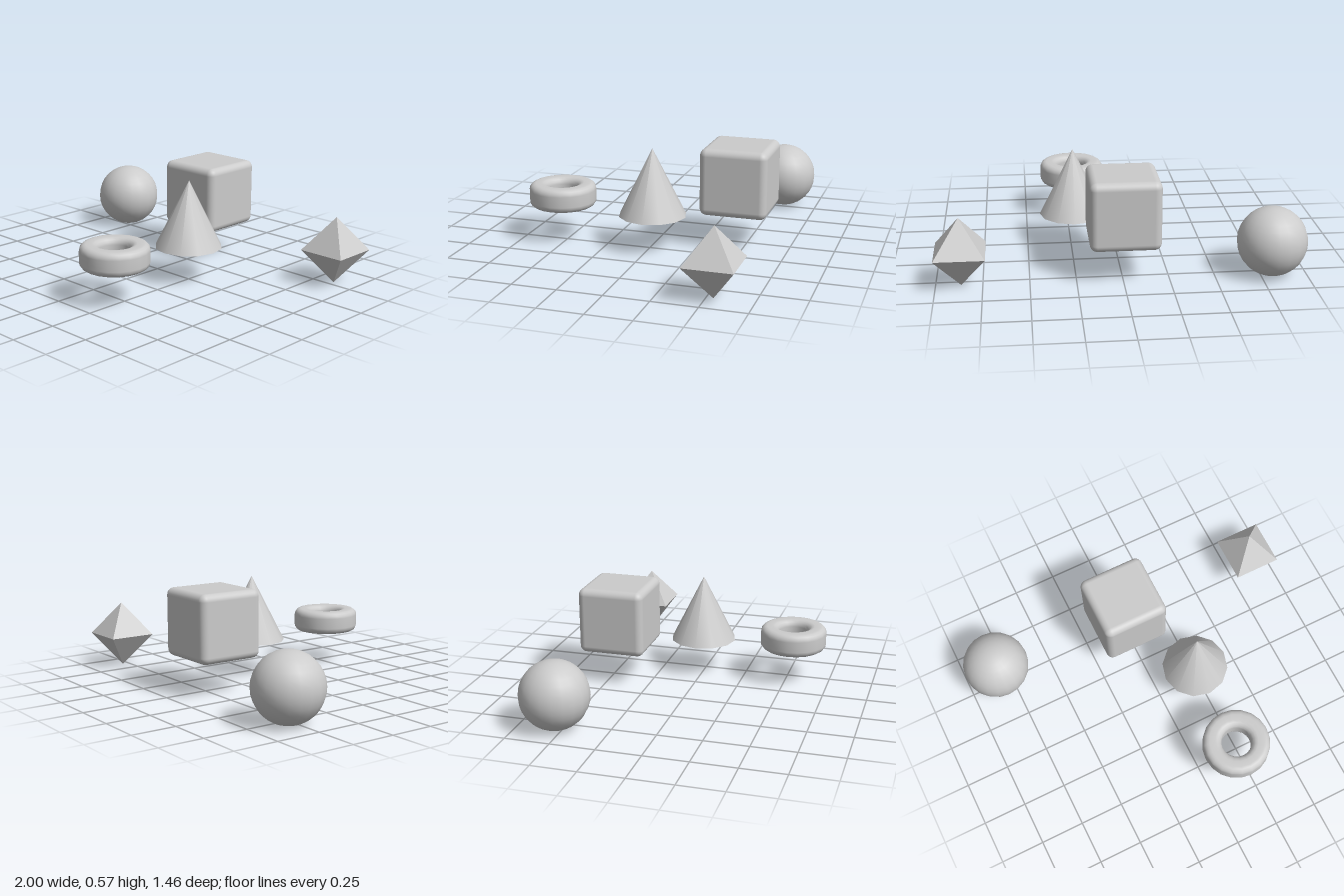
import * as THREE from 'three';
import { RoundedBoxGeometry } from 'three/addons/geometries/RoundedBoxGeometry.js';

const R = 0.191; // shared half-size of the solids

// Closed rounded-rectangle section, spun to make the ring
function ringProfile(inner, outer, height, radius, steps = 4) {
  const points = [];
  const corners = [
    [outer - radius, -height / 2 + radius, -Math.PI / 2],
    [outer - radius, height / 2 - radius, 0],
    [inner + radius, height / 2 - radius, Math.PI / 2],
    [inner + radius, -height / 2 + radius, Math.PI],
  ];
  for (const [x, y, start] of corners) {
    for (let i = 0; i <= steps; i++) {
      const a = start + (i / steps) * Math.PI / 2;
      points.push(new THREE.Vector2(x + radius * Math.cos(a), y + radius * Math.sin(a)));
    }
  }
  points.push(points[0].clone());
  return points;
}

export function createModel() {
  const model = new THREE.Group();
  const smooth = new THREE.MeshStandardMaterial({ color: 0xcccccc });
  const faceted = new THREE.MeshStandardMaterial({ color: 0xcccccc, flatShading: true });

  const add = (name, geometry, x, y, z, material = smooth) => {
    const mesh = new THREE.Mesh(geometry, material);
    mesh.name = name;
    mesh.position.set(x, y, z);
    model.add(mesh);
    return mesh;
  };

  add('sphere', new THREE.SphereGeometry(R, 20, 16), -0.809, R + 0.003, -0.541);
  add('roundedCube', new RoundedBoxGeometry(2 * R, 2 * R, 2 * R, 4, 0.04), -0.009, 0.385, -0.45);
  add('cone', new THREE.ConeGeometry(R, 2 * R, 12), 0.236, 0.385, -0.012);
  add('ring', new THREE.LatheGeometry(ringProfile(0.085, R, 0.135, 0.037), 20), 0.215, 0.262, 0.535);

  // Double pyramid with its square waist aligned to the axes
  const octahedron = add('octahedron', new THREE.OctahedronGeometry(R), 0.865, R + 0.003, -0.538, faceted);
  octahedron.rotation.y = Math.PI / 4;

  return model;
}
